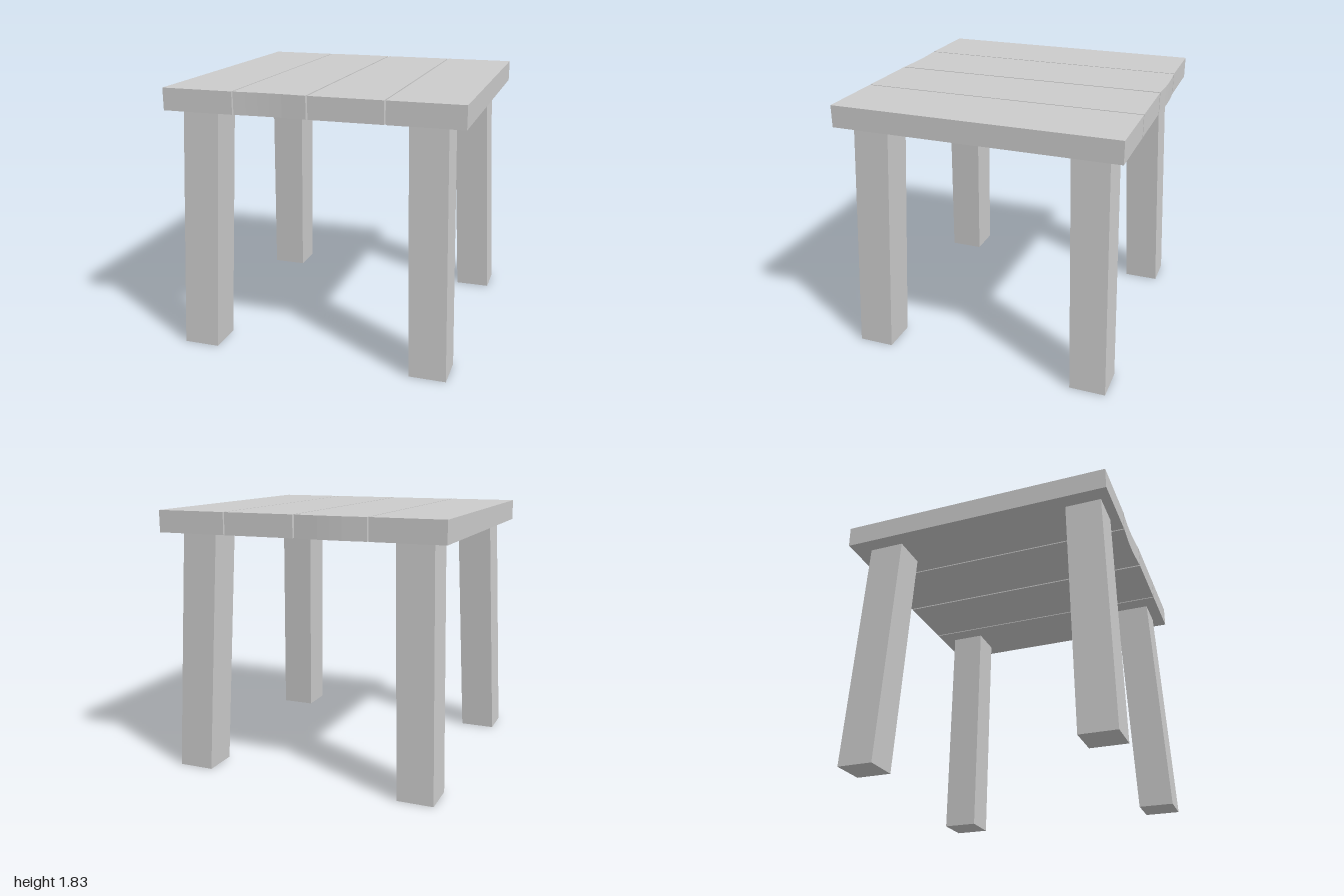
import * as THREE from 'three';

const SEAT_BOTTOM = 1.68, SEAT_TOP = 1.83;
const LEG = 0.25;

export function createModel() {
  const group = new THREE.Group();
  const material = new THREE.MeshStandardMaterial({ color: 0xcccccc, flatShading: true });

  function add(name, geometry) {
    const mesh = new THREE.Mesh(geometry, material);
    mesh.name = name;
    group.add(mesh);
  }

  // Move every vertex of a geometry by a rule
  function deform(geometry, rule) {
    const p = geometry.attributes.position;
    const v = new THREE.Vector3();
    for (let i = 0; i < p.count; i++) {
      rule(v.fromBufferAttribute(p, i));
      p.setXYZ(i, v.x, v.y, v.z);
    }
    geometry.computeVertexNormals();
    return geometry;
  }

  // Tabletop planks: [left edge, right edge, bow of the end edges]
  const back = -0.968, front = 0.97;
  const planks = [
    [-1, -0.508, 0],
    [-0.498, -0.007, 0.01],
    [0.005, 0.497, 0],
    [0.507, 1, 0],
  ];
  planks.forEach(([x0, x1, bow], i) => {
    const w = x1 - x0;
    const geometry = new THREE.BoxGeometry(w, SEAT_TOP - SEAT_BOTTOM, front - back, bow ? 6 : 1, 1, 1);
    // Both ends of the bowed plank shift backwards in the middle
    if (bow) deform(geometry, (v) => { v.z -= bow * Math.cos(Math.PI * v.x / w); });
    geometry.translate((x0 + x1) / 2, (SEAT_TOP + SEAT_BOTTOM) / 2, (front + back) / 2);
    add(`plank${i + 1}`, geometry);
  });

  // Splayed square legs: centre [x, z] at the top and at the floor
  const legs = {
    frontLeftLeg: [[0.755, 0.76], [0.805, 0.832]],
    frontRightLeg: [[-0.765, 0.78], [-0.835, 0.832]],
    backLeftLeg: [[0.755, -0.737], [0.83, -0.79]],
    backRightLeg: [[-0.765, -0.717], [-0.815, -0.79]],
  };
  for (const [name, [top, foot]] of Object.entries(legs)) {
    const geometry = new THREE.BoxGeometry(LEG, SEAT_BOTTOM, LEG);
    deform(geometry, (v) => {
      const [x, z] = v.y > 0 ? top : foot;
      v.set(v.x + x, v.y + SEAT_BOTTOM / 2, v.z + z);
    });
    add(name, geometry);
  }

  return group;
}
